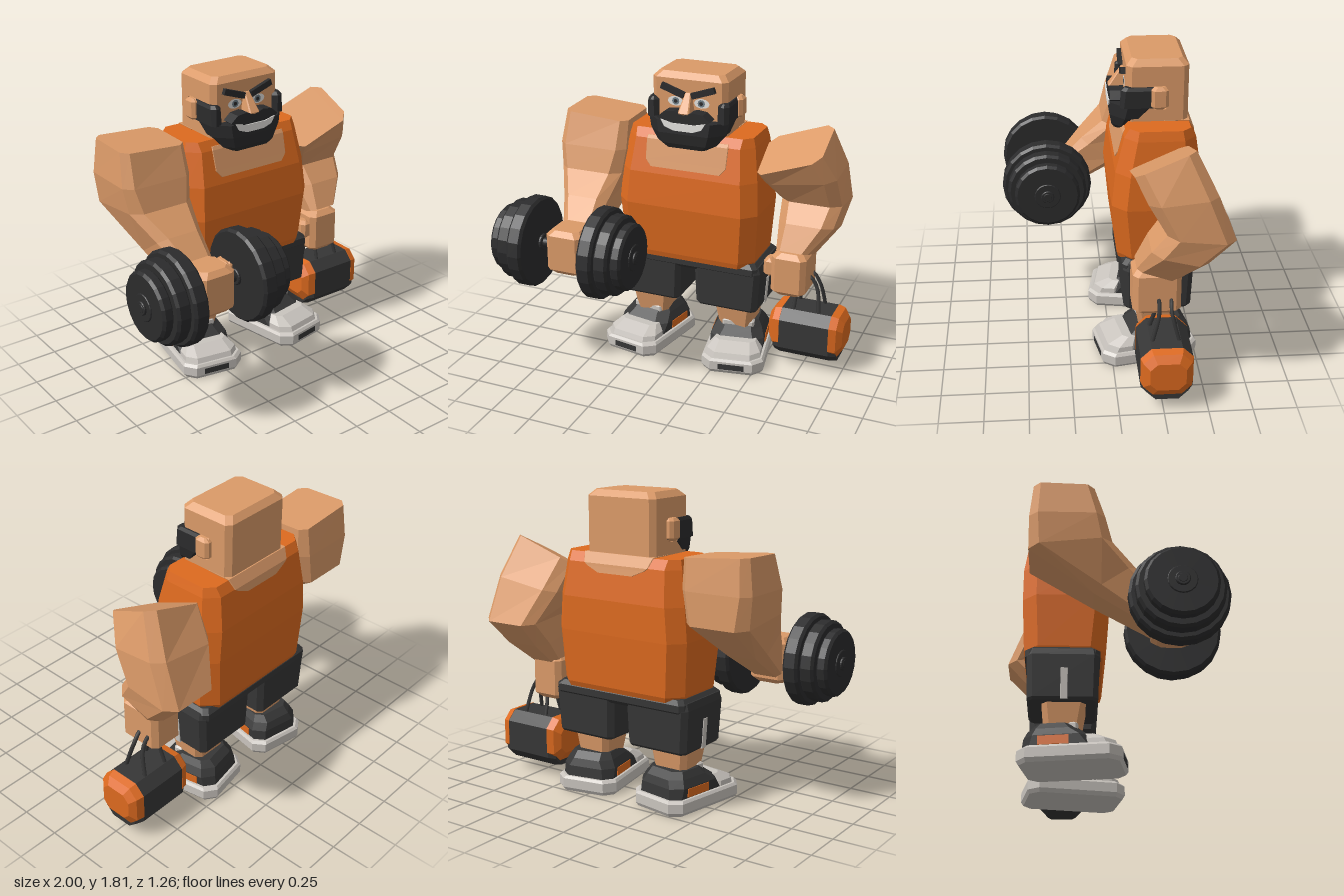
import * as THREE from 'three';

const mat = (name, color) => {
  const m = new THREE.MeshStandardMaterial({ color });
  m.name = name;
  return m;
};

// One chamfered eight-point ring; y and z run from a back edge to a front edge.
function ring(x0, x1, yB, zB, yF, zF, c = 0.03, roll = 0) {
  const len = Math.hypot(yF - yB, zF - zB), k = c / len, mid = (x0 + x1) / 2;
  const p = (x, t) => [x, yB + (yF - yB) * t + roll * (x - mid), zB + (zF - zB) * t];
  return [p(x1 - c, 1), p(x1, 1 - k), p(x1, k), p(x1 - c, 0),
    p(x0 + c, 0), p(x0, k), p(x0, 1 - k), p(x0 + c, 1)];
}
// Level ring.
const flat = (y, x0, x1, z0, z1, c) => ring(x0, x1, y, z0, y, z1, c);

// Skins a list of rings (bottom to top) and closes both ends, with flat facets.
function loft(rings) {
  const n = 8, index = [], last = (rings.length - 1) * n;
  for (let i = 0; i < rings.length - 1; i++) {
    for (let j = 0; j < n; j++) {
      const a = i * n + j, b = i * n + (j + 1) % n;
      index.push(a, b, b + n, a, b + n, a + n);
    }
  }
  for (let j = 1; j < n - 1; j++) {
    index.push(0, j + 1, j, last, last + j, last + j + 1);
  }
  const g = new THREE.BufferGeometry();
  g.setAttribute('position', new THREE.Float32BufferAttribute(rings.flat(2), 3));
  g.setIndex(index);
  const out = g.toNonIndexed();
  out.computeVertexNormals();
  return out;
}

// Box with bevelled edges, given by its limits.
function block(x0, x1, y0, y1, z0, z1, b = 0.02) {
  return loft([
    flat(y0, x0 + b, x1 - b, z0 + b, z1 - b, b),
    flat(y0 + b, x0, x1, z0, z1, b),
    flat(y1 - b, x0, x1, z0, z1, b),
    flat(y1, x0 + b, x1 - b, z0 + b, z1 - b, b),
  ]);
}

function plate(points, depth) {
  const s = new THREE.Shape(points.map(([x, y]) => new THREE.Vector2(x, y)));
  return new THREE.ExtrudeGeometry(s, { depth, bevelEnabled: false });
}

export function createModel() {
  const skin = mat('skin', 0xdb9a68), orange = mat('orange cloth', 0xdd6a1f);
  const dark = mat('dark cloth', 0x363636), black = mat('black', 0x2b2b2c);
  const pale = mat('pale grey', 0xc9c4be), white = mat('white', 0xe6e4e0);
  const grey = mat('iris grey', 0x6f7f88);

  const model = new THREE.Group();
  const body = new THREE.Group();
  body.name = 'body';
  body.position.x = 0.0275;
  model.add(body);
  const add = (parent, name, geometry, material, x = 0, y = 0, z = 0) => {
    const m = new THREE.Mesh(geometry, material);
    m.name = name;
    m.position.set(x, y, z);
    parent.add(m);
    return m;
  };

  // Tank top with skin showing at the neckline
  add(body, 'tankTop', loft([
    flat(0.655, -0.415, 0.415, -0.47, -0.04, 0.08),
    flat(0.69, -0.425, 0.425, -0.485, -0.03, 0.08),
    flat(1.0, -0.445, 0.445, -0.5, 0, 0.08),
    flat(1.2, -0.43, 0.43, -0.5, -0.02, 0.08),
    flat(1.4, -0.4, 0.4, -0.47, -0.07, 0.07),
    flat(1.455, -0.385, 0.385, -0.44, -0.1, 0.05),
  ]), orange);
  add(body, 'chestNeckline', loft([
    flat(1.24, -0.22, 0.22, -0.05, -0.026, 0.003),
    flat(1.28, -0.255, 0.255, -0.06, -0.036, 0.003),
    flat(1.4, -0.258, 0.258, -0.09, -0.065, 0.003),
    flat(1.42, -0.255, 0.255, -0.1, -0.076, 0.003),
  ]), skin);
  add(body, 'backNeckline', loft([
    flat(1.35, -0.12, 0.12, -0.483, -0.46, 0.003),
    flat(1.385, -0.2, 0.2, -0.477, -0.45, 0.003),
    flat(1.4, -0.22, 0.22, -0.475, -0.44, 0.003),
    flat(1.459, -0.24, 0.24, -0.444, -0.3, 0.003),
  ]), skin);

  // Shorts and legs
  add(body, 'waistband', block(-0.452, 0.452, 0.59, 0.68, -0.475, -0.055, 0.025), dark);
  for (const s of [-1, 1]) {
    const side = (y, a, b, z0, z1, c) => flat(y, Math.min(s * a, s * b), Math.max(s * a, s * b), z0, z1, c);
    add(body, 'shortsLeg', loft([
      side(0.36, 0.07, 0.44, -0.445, -0.08, 0.02),
      side(0.375, 0.055, 0.452, -0.458, -0.066, 0.03),
      side(0.62, 0.045, 0.468, -0.465, -0.06, 0.03),
      side(0.66, 0.045, 0.455, -0.46, -0.065, 0.03),
    ]), dark);
    add(body, 'shortsStripe', loft([
      side(0.362, 0.44, 0.456, -0.275, -0.235, 0.002),
      side(0.54, 0.455, 0.468, -0.275, -0.235, 0.002),
    ]), pale);
    add(body, 'shin', loft([
      side(0.2, 0.175, 0.385, -0.36, -0.16, 0.03),
      side(0.38, 0.15, 0.41, -0.38, -0.13, 0.03),
    ]), skin);

    // Shoe, turned slightly outward
    const shoe = new THREE.Group();
    shoe.name = 'shoe';
    shoe.position.set(s * 0.3025, 0, -0.2);
    shoe.rotation.y = s * 0.18;
    body.add(shoe);
    add(shoe, 'sole', loft([
      flat(0.003, -0.175, 0.175, -0.275, 0.275, 0.05),
      flat(0.025, -0.192, 0.192, -0.288, 0.288, 0.06),
      flat(0.08, -0.192, 0.192, -0.288, 0.288, 0.06),
      flat(0.095, -0.18, 0.18, -0.276, 0.276, 0.06),
    ]), pale);
    add(shoe, 'soleInset', new THREE.BoxGeometry(0.16, 0.036, 0.008), dark, 0, 0.048, 0.286);
    add(shoe, 'shoeUpper', loft([
      flat(0.09, -0.165, 0.165, -0.262, 0.16, 0.05),
      flat(0.155, -0.168, 0.168, -0.255, 0.12, 0.06),
      flat(0.2, -0.145, 0.145, -0.24, 0.06, 0.06),
      flat(0.238, -0.12, 0.12, -0.2, 0.01, 0.04),
    ]), dark);
    add(shoe, 'toeCap', loft([
      flat(0.09, -0.168, 0.168, 0.06, 0.265, 0.055),
      flat(0.125, -0.165, 0.165, 0.06, 0.25, 0.055),
      flat(0.165, -0.125, 0.125, 0.06, 0.16, 0.03),
    ]), pale);
    add(shoe, 'tongue', block(-0.1, 0.1, 0.2, 0.25, -0.02, 0.04, 0.01), pale);
    for (const t of [-1, 1]) {
      add(shoe, 'shoePanel', new THREE.BoxGeometry(0.008, 0.05, 0.17), orange, t * 0.168, 0.125, -0.08);
    }
  }

  // Head
  add(body, 'head', loft([
    flat(1.38, -0.21, 0.21, -0.42, -0.11, 0.03),
    flat(1.42, -0.235, 0.235, -0.437, -0.09, 0.03),
    flat(1.775, -0.235, 0.235, -0.437, -0.09, 0.03),
    flat(1.81, -0.2, 0.2, -0.405, -0.122, 0.03),
  ]), skin);
  add(body, 'jawBeard', loft([
    flat(1.375, -0.125, 0.125, -0.13, -0.03, 0.02),
    flat(1.405, -0.185, 0.185, -0.17, -0.014, 0.05),
    flat(1.47, -0.235, 0.235, -0.235, -0.002, 0.08),
    flat(1.545, -0.255, 0.255, -0.3, -0.006, 0.09),
  ]), black);
  add(body, 'nose', loft([
    flat(1.558, -0.028, 0.028, -0.1, -0.025, 0.006),
    flat(1.595, -0.036, 0.036, -0.1, -0.002, 0.008),
    flat(1.7, -0.018, 0.018, -0.1, -0.078, 0.005),
  ]), skin);
  add(body, 'moustache', plate([
    [0, 1.545], [0.13, 1.535], [0.165, 1.56], [0.12, 1.598], [0.06, 1.605], [0, 1.585],
    [-0.06, 1.605], [-0.12, 1.598], [-0.165, 1.56], [-0.13, 1.535],
  ], 0.08), black, 0, 0, -0.085);
  add(body, 'teeth', plate([
    [-0.14, 1.552], [-0.115, 1.51], [-0.06, 1.49], [0.06, 1.49], [0.115, 1.51], [0.14, 1.552],
    [0.07, 1.535], [-0.07, 1.535],
  ], 0.006), white, 0, 0, -0.003);
  for (const s of [-1, 1]) {
    const [a, b] = s > 0 ? [0.185, 0.255] : [-0.255, -0.185];
    add(body, 'sideburn', loft([
      flat(1.54, a, b, -0.3, -0.055, 0.02),
      flat(1.64, a, b, -0.3, -0.06, 0.025),
      flat(1.658, a + 0.01, b - 0.01, -0.29, -0.08, 0.02),
    ]), black);
    add(body, 'ear', block(s * 0.253 - 0.027, s * 0.253 + 0.027, 1.535, 1.665, -0.322, -0.225, 0.018), skin);
    add(body, 'eyebrow', new THREE.BoxGeometry(0.15, 0.036, 0.03), black, s * 0.095, 1.708, -0.08)
      .rotation.z = s * 0.33;
    const eye = add(body, 'eyeWhite', new THREE.CircleGeometry(1, 12), white, s * 0.083, 1.642, -0.0875);
    eye.scale.set(0.048, 0.029, 1);
    add(body, 'iris', new THREE.CircleGeometry(0.023, 10), grey, s * 0.08, 1.642, -0.086);
    add(body, 'pupil', new THREE.CircleGeometry(0.012, 8), black, s * 0.08, 1.642, -0.0845);
  }

  // Left arm, hanging with the elbow back
  add(model, 'leftArm', loft([
    ring(0.575, 0.77, 0.71, -0.33, 0.79, -0.11, 0.03),
    ring(0.555, 0.89, 0.86, -0.49, 0.94, -0.18, 0.06),
    ring(0.545, 0.915, 1.01, -0.63, 1.05, -0.26, 0.06),
    ring(0.46, 0.9, 1.24, -0.53, 1.2, -0.16, 0.06, 0.15),
    ring(0.43, 0.83, 1.45, -0.41, 1.31, -0.09, 0.05, 0.35),
  ]), skin);
  add(model, 'leftHand', block(0.555, 0.77, 0.5, 0.775, -0.36, -0.09, 0.03), skin);
  add(model, 'leftThumb', block(0.5, 0.575, 0.6, 0.72, -0.23, -0.12, 0.02), skin);

  // Right arm, reaching forward
  add(model, 'rightArm', loft([
    ring(-0.65, -0.45, 0.69, 0.24, 0.92, 0.24, 0.03),
    ring(-0.72, -0.43, 0.88, -0.1, 1.04, 0.13, 0.05),
    ring(-0.8, -0.4, 1.11, -0.46, 1.16, 0, 0.06),
    ring(-0.82, -0.38, 1.3, -0.46, 1.3, -0.04, 0.05),
    ring(-0.797, -0.385, 1.49, -0.44, 1.48, -0.1, 0.04, -0.07),
  ]), skin);
  add(model, 'rightHand', block(-0.665, -0.435, 0.655, 0.93, 0.22, 0.45, 0.03), skin);
  add(model, 'rightThumb', block(-0.45, -0.395, 0.81, 0.91, 0.24, 0.37, 0.02), skin);

  // Dumbbell: a bar with three chamfered plates at each end
  const dumbbell = new THREE.Group();
  dumbbell.name = 'dumbbell';
  dumbbell.position.set(-0.553, 0.81, 0.354);
  dumbbell.rotation.z = -Math.PI / 2;
  model.add(dumbbell);
  const disc = (name, r, y0, y1, b = 0.015) => {
    const pts = [[0, y0], [r - b, y0], [r, y0 + b], [r, y1 - b], [r - b, y1], [0, y1]];
    const g = new THREE.LatheGeometry(pts.map(([x, y]) => new THREE.Vector2(x, y)), 20).toNonIndexed();
    g.computeVertexNormals();
    add(dumbbell, name, g, black);
  };
  disc('bar', 0.028, -0.447, 0.447, 0.005);
  for (const s of [-1, 1]) {
    const span = (name, r, a, b, bevel) => disc(name, r, Math.min(s * a, s * b), Math.max(s * a, s * b), bevel);
    span('collar', 0.05, 0.165, 0.19, 0.005);
    span('largePlate', 0.275, 0.18, 0.275);
    span('mediumPlate', 0.242, 0.27, 0.36);
    span('smallPlate', 0.2, 0.355, 0.425);
    span('hub', 0.08, 0.42, 0.432, 0.004);
    span('endCap', 0.04, 0.43, 0.445, 0.004);
  }

  // Gym bag lying along x, with coloured ends and two handles
  const bag = new THREE.Group();
  bag.name = 'gymBag';
  bag.position.set(0.77, 0.2325, -0.2675);
  bag.rotation.z = -Math.PI / 2;
  model.add(bag);
  add(bag, 'bagBody', loft([
    flat(-0.2, -0.12, 0.152, -0.115, 0.115, 0.05),
    flat(-0.16, -0.152, 0.152, -0.146, 0.146, 0.06),
    flat(0.16, -0.152, 0.152, -0.146, 0.146, 0.06),
    flat(0.2, -0.12, 0.152, -0.115, 0.115, 0.05),
  ]), dark);
  for (const s of [-1, 1]) {
    const rings = [
      flat(s * 0.155, -0.154, 0.12, -0.148, 0.148, 0.06),
      flat(s * 0.2, -0.142, 0.12, -0.135, 0.135, 0.055),
      flat(s * 0.232, -0.1, 0.07, -0.1, 0.1, 0.04),
    ];
    add(bag, 'bagEnd', loft(s > 0 ? rings : rings.reverse()), orange);
    const zb = -0.2675 + s * 0.08, zt = -0.2675 + s * 0.035;
    const path = new THREE.CatmullRomCurve3([[0.68, 0.36, zb], [0.7, 0.53, zt], [0.75, 0.61, zt],
      [0.81, 0.54, zt], [0.845, 0.36, zb]].map((p) => new THREE.Vector3(...p)));
    add(model, 'bagHandle', new THREE.TubeGeometry(path, 14, 0.012, 6), dark);
  }
  return model;
}
